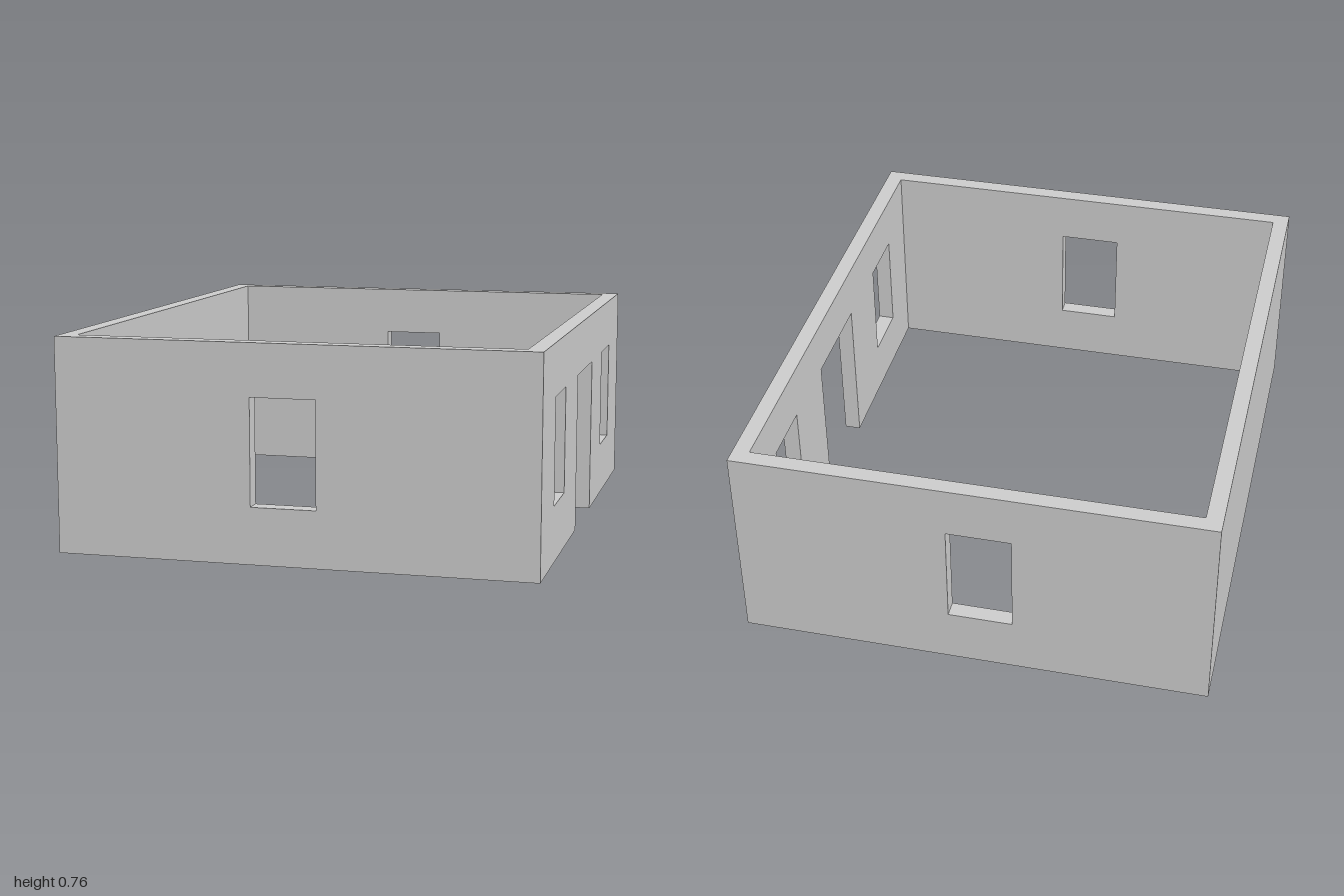
import * as THREE from 'three';

const W = 0.845, D = 1, H = 0.76, T = 0.06; // half width, half depth, height, wall thickness
const SILL = 0.2, LINTEL = 0.575;

const rect = (x0, x1, y0, y1) => [[x0, y0], [x1, y0], [x1, y1], [x0, y1]].map(([x, y]) => new THREE.Vector2(x, y));

// Wall panel of a given half length, with window spans and an optional door notch
function makeWall(name, half, windows = [], door = null) {
  const outline = rect(-half, half, 0, H);
  if (door) outline.splice(1, 0, ...[[door[0], 0], [door[0], LINTEL], [door[1], LINTEL], [door[1], 0]]
    .map(([x, y]) => new THREE.Vector2(x, y)));
  const shape = new THREE.Shape(outline);
  for (const [a, b] of windows) shape.holes.push(new THREE.Path(rect(a, b, SILL, LINTEL)));
  const mesh = new THREE.Mesh(
    new THREE.ExtrudeGeometry(shape, { depth: T, bevelEnabled: false }),
    new THREE.MeshStandardMaterial({ color: 0xcccccc, flatShading: true })
  );
  mesh.name = name;
  return mesh;
}

export function createModel() {
  const group = new THREE.Group();
  group.name = 'roofless house';

  // Front and back walls share the same window span
  const endWindow = [[-0.145, 0.085]];
  const front = makeWall('frontWall', W, endWindow);
  front.position.z = D - T;
  const back = makeWall('backWall', W, endWindow);
  back.position.z = -D;

  // Side walls fit between them; their local x runs towards -z
  const doorWall = makeWall('doorWall', D - T, [[-0.725, -0.495], [0.48, 0.71]], [-0.195, 0.19]);
  doorWall.rotation.y = Math.PI / 2;
  doorWall.position.x = W - T;
  const blankWall = makeWall('blankWall', D - T);
  blankWall.rotation.y = Math.PI / 2;
  blankWall.position.x = -W;

  group.add(front, back, doorWall, blankWall);
  return group;
}
